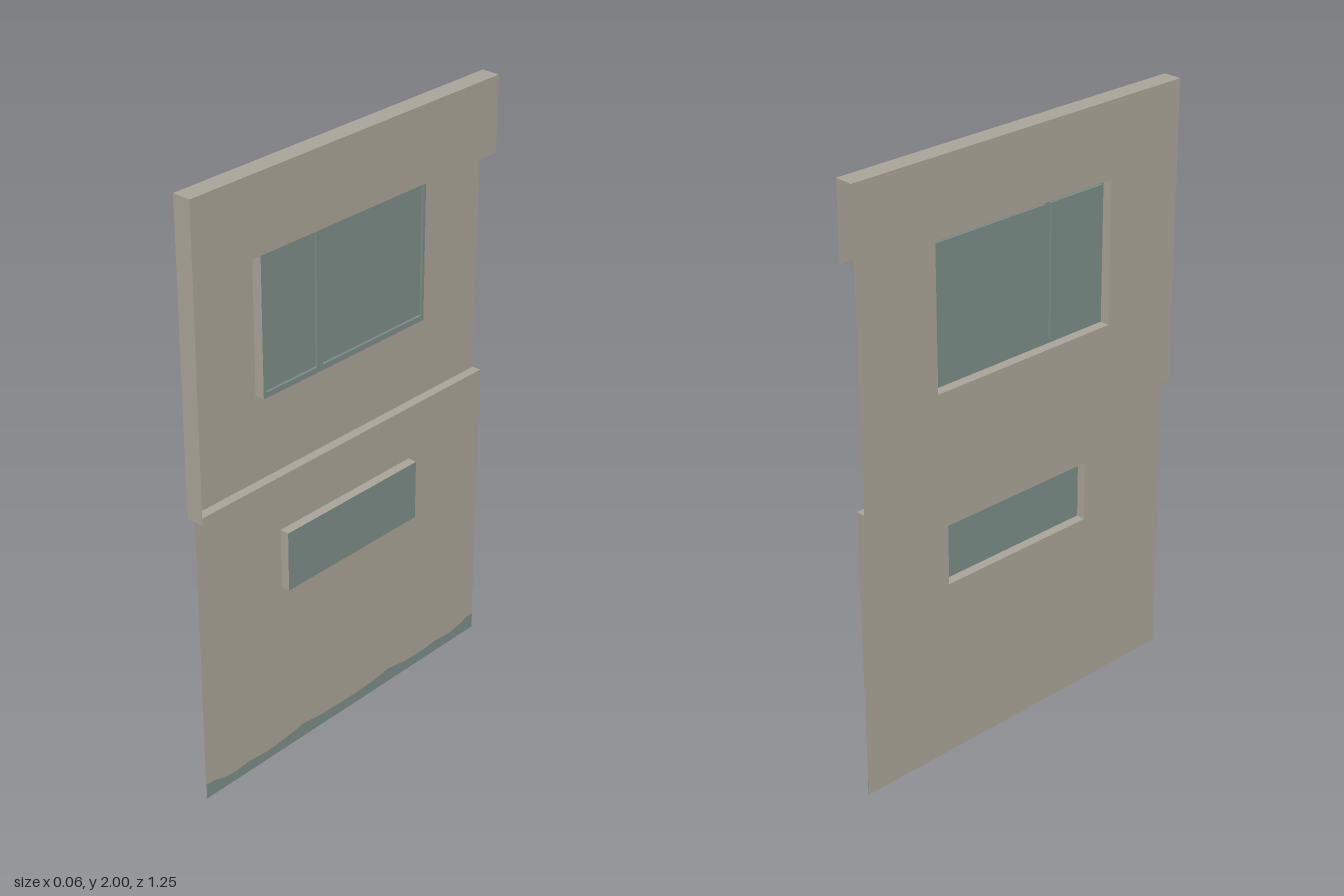
import * as THREE from 'three';

const wallMat = new THREE.MeshStandardMaterial({ color: 0xa8a397, side: THREE.DoubleSide });
wallMat.name = 'warm grey wall';
const glassMat = new THREE.MeshStandardMaterial({ color: 0x7b8c87, side: THREE.DoubleSide });
glassMat.name = 'grey teal';

const HALF = 0.625;   // half the facade width along z
const BACK = -0.031;  // plane of the upper wall
const FRONT = 0.031;  // plane of the header and the lower window

function add(parent, name, geometry, material) {
  const mesh = new THREE.Mesh(geometry, material);
  mesh.name = name;
  parent.add(mesh);
  return mesh;
}

// Rectangle in facade coordinates: u runs along -z, v is height
function rectPoints(u0, u1, v0, v1) {
  return [[u0, v0], [u1, v0], [u1, v1], [u0, v1]].map(([u, v]) => new THREE.Vector2(u, v));
}

// Upright sheet facing +x with rectangular holes, placed at depth x
function sheet(parent, name, x, rect, holes, material) {
  const shape = new THREE.Shape(rectPoints(...rect));
  for (const h of holes) shape.holes.push(new THREE.Path(rectPoints(...h).reverse()));
  const g = new THREE.ShapeGeometry(shape).rotateY(Math.PI / 2).translate(x, 0, 0);
  return add(parent, name, g, material);
}

// Horizontal sheet facing up or down
function shelf(parent, name, x0, x1, u0, u1, y, up, material) {
  const g = new THREE.PlaneGeometry(x1 - x0, u1 - u0).rotateX(up ? -Math.PI / 2 : Math.PI / 2);
  g.translate((x0 + x1) / 2, y, -(u0 + u1) / 2);
  return add(parent, name, g, material);
}

// Upright sheet across the depth, facing +z or -z
function cheek(parent, name, x0, x1, y0, y1, z, front, material) {
  const g = new THREE.PlaneGeometry(x1 - x0, y1 - y0);
  if (!front) g.rotateY(Math.PI);
  g.translate((x0 + x1) / 2, (y0 + y1) / 2, z);
  return add(parent, name, g, material);
}

// Four sides of an open box around a rectangular opening
function surround(parent, name, x0, x1, [u0, u1, v0, v1], material) {
  const group = new THREE.Group();
  group.name = name;
  shelf(group, name + 'Top', x0, x1, u0, u1, v1, true, material);
  shelf(group, name + 'Bottom', x0, x1, u0, u1, v0, false, material);
  cheek(group, name + 'FrontSide', x0, x1, v0, v1, -u0, true, material);
  cheek(group, name + 'BackSide', x0, x1, v0, v1, -u1, false, material);
  parent.add(group);
}

export function createModel() {
  const model = new THREE.Group();
  model.name = 'facadePanel';

  const upperOpening = [-0.345, 0.34, 1.285, 1.755];
  const lowerOpening = [-0.285, 0.285, 0.613, 0.817];

  // Upper storey: recessed wall, header, roof strip, one end wall and ledge
  sheet(model, 'upperWall', BACK, [-HALF, HALF, 1, 2], [upperOpening], wallMat);
  sheet(model, 'header', FRONT, [-HALF, HALF, 1.753, 2], [], wallMat);
  shelf(model, 'roofStrip', BACK, FRONT, -HALF, HALF, 2, true, wallMat);
  cheek(model, 'endWall', BACK, FRONT, 1, 2, HALF, true, wallMat);
  shelf(model, 'ledge', BACK, 0, -HALF, HALF, 1, true, wallMat);

  // Lower storey wall
  sheet(model, 'lowerWall', 0, [-HALF, HALF, 0, 1], [lowerOpening], wallMat);

  // Lower window: a shallow projecting box
  surround(model, 'lowerWindowSurround', 0, FRONT, lowerOpening, wallMat);
  sheet(model, 'lowerWindowGlass', FRONT, lowerOpening, [], glassMat);

  // Upper window: projecting box, frame and two slightly recessed panes
  surround(model, 'upperWindowSurround', BACK, 0.002, upperOpening, wallMat);
  const panes = [[-0.333, -0.125, 1.303, 1.736], [-0.102, 0.33, 1.303, 1.736]];
  sheet(model, 'upperWindowFrame', 0.002, upperOpening, panes, glassMat);
  for (const pane of panes) {
    surround(model, 'paneRebate', -0.006, 0.002, pane, glassMat);
    sheet(model, 'upperWindowPane', -0.006, pane, [], glassMat);
  }

  // Wavy strip along the foot of the wall
  const crest = [
    [0.625, 0.054], [0.59, 0.052], [0.55, 0.038], [0.5, 0.034], [0.44, 0.039], [0.36, 0.031],
    [0.28, 0.038], [0.2, 0.05], [0.12, 0.039], [0, 0.037], [-0.12, 0.039], [-0.2, 0.05],
    [-0.28, 0.037], [-0.36, 0.034], [-0.44, 0.04], [-0.5, 0.034], [-0.56, 0.042], [-0.6, 0.055], [-0.625, 0.054],
  ];
  const foot = new THREE.Shape([
    new THREE.Vector2(-HALF, 0), new THREE.Vector2(HALF, 0),
    ...crest.reverse().map(([z, y]) => new THREE.Vector2(-z, y)),
  ]);
  add(model, 'footStrip', new THREE.ShapeGeometry(foot).rotateY(Math.PI / 2).translate(0.002, 0, 0), glassMat);

  return model;
}
